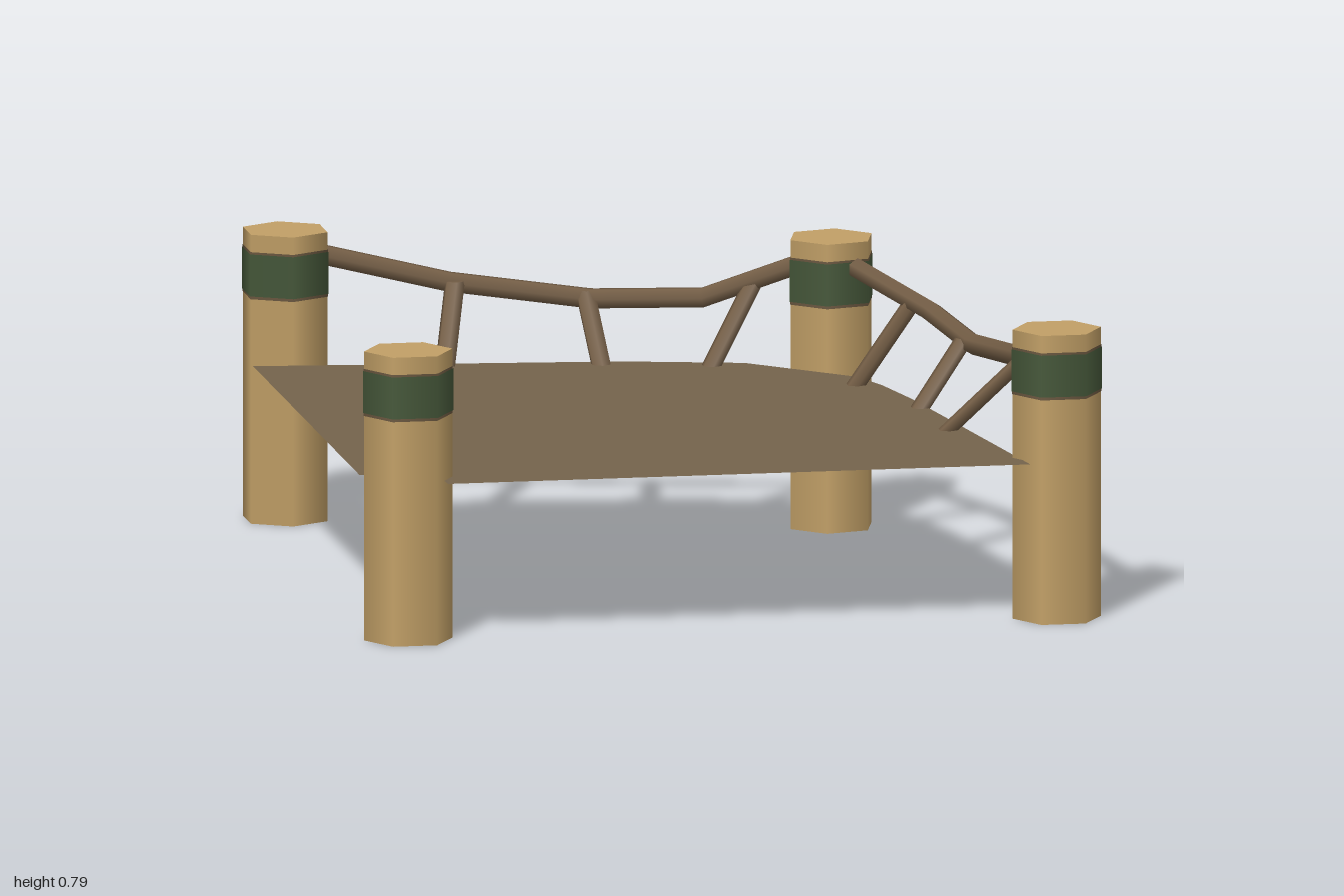
import * as THREE from 'three';

const mat = (name, color, side = THREE.FrontSide) => {
  const m = new THREE.MeshStandardMaterial({ color, side });
  m.name = name;
  return m;
};

export function createModel() {
  const root = new THREE.Group();
  root.name = 'cornerPlatform';

  const paleWood = mat('paleWood', 0xc2a067, THREE.DoubleSide);
  const floorWood = mat('floorWood', 0x75644c, THREE.DoubleSide);
  const railWood = mat('railWood', 0x735d45);
  const green = mat('greenWrap', 0x46583a);
  const trim = mat('brownTrim', 0x6b5840);

  const add = (parent, name, geometry, material) => {
    const mesh = new THREE.Mesh(geometry, material);
    mesh.name = name;
    parent.add(mesh);
    return mesh;
  };

  // Six-sided posts, open underneath, with a painted band near the top
  const R = 0.12, H = 0.785;
  const sleeve = (r, y0, y1) =>
    new THREE.CylinderGeometry(r, r, y1 - y0, 6, 1, true).translate(0, (y0 + y1) / 2, 0);
  const post = (name, x, z, turn) => {
    const g = new THREE.Group();
    g.name = name;
    add(g, 'shaft', sleeve(R, 0, H), paleWood);
    const cap = new THREE.CircleGeometry(R, 6, Math.PI / 2).rotateX(-Math.PI / 2).translate(0, H, 0);
    add(g, 'cap', cap, paleWood);
    add(g, 'bandTrim', sleeve(R + 0.001, 0.61, 0.738), trim);
    add(g, 'band', sleeve(R + 0.003, 0.618, 0.732), green);
    g.position.set(x, 0, z);
    g.rotation.y = turn;
    root.add(g);
  };
  post('backRightPost', -0.893, -0.88, 0);
  post('cornerPost', 0.522, -0.518, Math.PI / 4);
  post('frontRightPost', -0.88, 0.888, Math.PI / 6);
  post('frontLeftPost', 0.88, 0.888, Math.PI / 6);

  // Thin floor with a rounded back corner and a notch at one post
  const outline = [
    [-1, -0.772], [-0.02, -0.665], [0.3, -0.585], [0.56, -0.335], [0.605, -0.2],
    [0.65, 0.02], [0.79, 0.99], [-0.79, 0.99], [-0.8, 0.82], [-1, 0.82],
  ];
  const floorShape = new THREE.Shape(outline.map(([x, z]) => new THREE.Vector2(x, -z)));
  const floorY = 0.437;
  add(root, 'floor',
    new THREE.ShapeGeometry(floorShape).rotateX(-Math.PI / 2).translate(0, floorY, 0), floorWood);

  // Sagging handrails, one straight section per pair of points
  const rail = (name, pts) => {
    const curve = new THREE.CatmullRomCurve3(pts.map(p => new THREE.Vector3(...p)));
    curve.getPointAt = (t, v) => curve.getPoint(t, v);
    curve.getTangentAt = (t, v) => curve.getTangent(t, v);
    add(root, name, new THREE.TubeGeometry(curve, pts.length - 1, 0.029, 6), railWood);
  };
  rail('backRail', [
    [-0.88, 0.73, -0.92], [-0.45, 0.63, -0.87], [-0.08, 0.587, -0.79],
    [0.21, 0.595, -0.71], [0.52, 0.73, -0.56],
  ]);
  rail('sideRail', [
    [0.54, 0.73, -0.5], [0.725, 0.645, -0.14], [0.8, 0.593, 0.07],
    [0.865, 0.63, 0.48], [0.865, 0.732, 0.88],
  ]);

  // Slanted struts with level ends, made by shearing upright cylinders
  const strut = (name, x0, z0, x1, y1, z1) => {
    const h = y1 - 0.433;
    const geo = new THREE.CylinderGeometry(0.028, 0.028, h, 6).translate(0, h / 2, 0);
    geo.applyMatrix4(new THREE.Matrix4().set(
      1, (x1 - x0) / h, 0, x0,
      0, 1, 0, 0.433,
      0, (z1 - z0) / h, 1, z0,
      0, 0, 0, 1));
    add(root, name, geo, railWood);
  };
  [
    [-0.495, -0.685, -0.437, 0.635, -0.855],
    [-0.08, -0.635, -0.095, 0.61, -0.8],
    [0.205, -0.565, 0.34, 0.65, -0.655],
  ].forEach((s, i) => strut('backStrut' + (i + 1), ...s));
  [
    [0.535, -0.225, 0.69, 0.66, -0.215],
    [0.645, 0.13, 0.785, 0.605, 0.04],
    [0.66, 0.455, 0.86, 0.64, 0.525],
  ].forEach((s, i) => strut('sideStrut' + (i + 1), ...s));

  return root;
}
